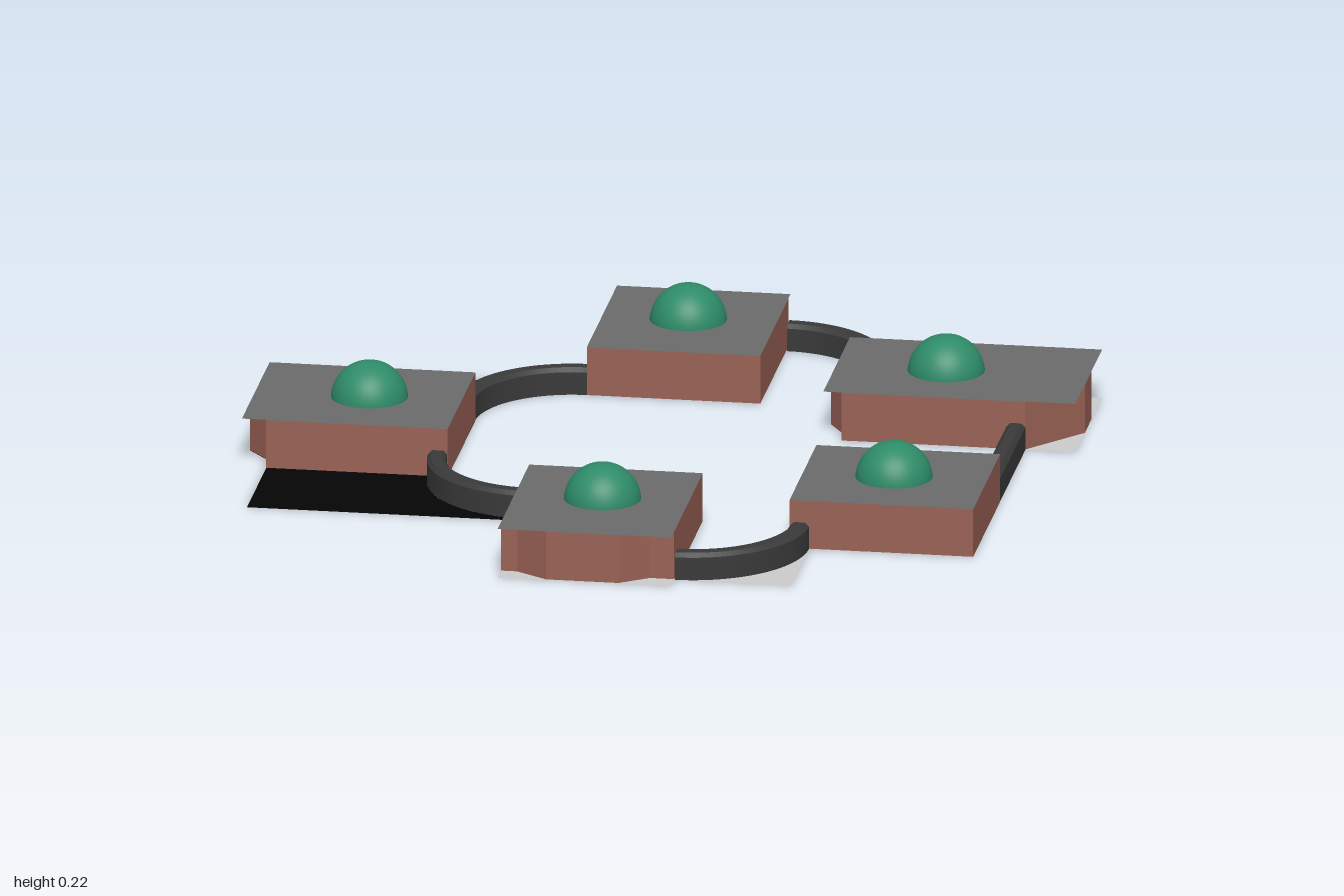
import * as THREE from 'three';

const mat = (color, side = THREE.FrontSide) => new THREE.MeshStandardMaterial({ color, side });

export function createModel() {
  const model = new THREE.Group();
  const brick = mat(0x9a6256);
  const slab = mat(0x6b6b6b, THREE.DoubleSide);
  const leaf = mat(0x2e8b68);
  const kerb = mat(0x3a3a3a, THREE.DoubleSide);
  const paving = mat(0xcccccc, THREE.DoubleSide);
  const soil = mat(0x050505, THREE.DoubleSide);
  const H = 0.125;

  const add = (geometry, material, name, parent = model) => {
    const mesh = new THREE.Mesh(geometry, material);
    mesh.name = name;
    parent.add(mesh);
    return mesh;
  };
  // Plan shapes are drawn in x and -z, then laid flat
  const plan = (points) => new THREE.Shape(points.map(([x, z]) => new THREE.Vector2(x, -z)));
  const sheet = (shape, y) => new THREE.ShapeGeometry(shape, 24).rotateX(-Math.PI / 2).translate(0, y, 0);
  const corners = (x0, x1, z0, z1) => [[x0, z0], [x0, z1], [x1, z1], [x1, z0]];

  // Planters: walls from a plan outline, overhanging top slab, paving below, round bush
  const planters = [
    {
      name: 'backPlanter', bush: [-0.038, -0.713],
      slab: corners(-0.25, 0.18, -0.94, -0.46),
      base: corners(-0.25, 0.18, -0.96, -0.46),
      outline: corners(-0.25, 0.18, -0.91, -0.46),
    },
    {
      name: 'backLeftPlanter', bush: [0.647, -0.42],
      slab: corners(0.375, 1, -0.635, -0.21),
      base: [[0.42, -0.635], [0.42, -0.585], [0.375, -0.51], [0.375, -0.33], [0.42, -0.255], [0.42, -0.21],
        [1, -0.21], [1, -0.635]],
      outline: [[0.42, -0.635], [0.42, -0.585], [0.375, -0.51], [0.375, -0.33], [0.42, -0.255], [0.42, -0.21],
        [0.875, -0.21], [1, -0.36], [1, -0.47], [0.875, -0.62], [0.875, -0.635]],
    },
    {
      name: 'frontLeftPlanter', bush: [0.647, 0.41],
      slab: corners(0.422, 0.877, 0.2, 0.627),
      base: corners(0.422, 0.877, 0.2, 0.627),
      outline: corners(0.422, 0.877, 0.2, 0.627),
    },
    {
      name: 'frontPlanter', bush: [-0.033, 0.685],
      slab: corners(-0.25, 0.18, 0.457, 0.96),
      base: corners(-0.25, 0.18, 0.457, 0.96),
      outline: [[-0.25, 0.457], [-0.25, 0.91], [-0.21, 0.91], [-0.13, 0.96], [0.05, 0.96], [0.12, 0.91],
        [0.18, 0.91], [0.18, 0.457]],
    },
    {
      name: 'rightPlanter', bush: [-0.718, -0.004],
      slab: corners(-1, -0.49, -0.225, 0.215),
      outline: [[-0.94, -0.225], [-0.94, -0.17], [-1, -0.095], [-1, 0.085], [-0.94, 0.16], [-0.94, 0.215],
        [-0.49, 0.215], [-0.49, -0.225]],
    },
  ];

  for (const p of planters) {
    const group = new THREE.Group();
    group.name = p.name;
    model.add(group);
    const walls = new THREE.ExtrudeGeometry(plan(p.outline), { depth: H - 0.002, bevelEnabled: false });
    add(walls.rotateX(-Math.PI / 2).translate(0, 0.001, 0), [slab, brick], 'walls', group);
    add(sheet(plan(p.slab), H), slab, 'topSlab', group);
    const bush = new THREE.SphereGeometry(0.095, 40, 16, 0, Math.PI * 2, 0, Math.PI / 2);
    add(bush, leaf, 'bush', group).position.set(p.bush[0], 0.12, p.bush[1]);
    if (p.base) add(sheet(plan(p.base), 0), paving, 'paving', group);
  }

  // Curved kerbs joining the planters, swept from a chamfered section
  const R = 0.288, W = 0.047;
  const section = [[0, 0], [0, 0.058], [-0.01, 0.068], [-W + 0.01, 0.068], [-W, 0.058], [-W, 0], [0, 0]];
  const arcs = [
    ['frontLeftKerb', 0.182, 0.624, 0],
    ['backLeftKerb', 0.182, -0.632, 1],
    ['backRightKerb', -0.25, -0.222, 2],
    ['frontRightKerb', -0.25, 0.215, 3],
  ];
  for (const [name, x, z, quarter] of arcs) {
    // Each section edge is swept alone so the chamfers stay crisp
    const group = new THREE.Group();
    group.name = name;
    group.position.set(x, 0, z);
    model.add(group);
    for (let i = 0; i < section.length - 1; i++) {
      const edge = [section[i], section[i + 1]].map(([r, y]) => new THREE.Vector2(R + r, y));
      add(new THREE.LatheGeometry(edge, 24, quarter * Math.PI / 2, Math.PI / 2), kerb, 'kerbFace', group);
    }
  }

  // Straight kerb on the left side
  const bar = new THREE.Shape(section.slice(0, -1).map(([x, y]) => new THREE.Vector2(0.876 + x, y)));
  add(new THREE.ExtrudeGeometry(bar, { depth: 0.41, bevelEnabled: false }).translate(0, 0, -0.21), kerb, 'straightKerb');

  // Paved corners outside the two left kerbs
  for (const [name, y, s] of [['backCorner', 0.632, 1], ['frontCorner', -0.624, -1]]) {
    const corner = new THREE.Shape();
    corner.moveTo(0.182 + R, y + s * R);
    corner.lineTo(0.182, y + s * R);
    corner.absarc(0.182, y, R, s * Math.PI / 2, 0, s > 0);
    add(sheet(corner, 0), paving, name);
  }

  // Dark bed around the right planter, cut back along both kerbs
  const bed = new THREE.Shape();
  bed.moveTo(-0.94, 0.535);
  bed.lineTo(-0.25, 0.535);
  bed.absarc(-0.25, 0.222, R, Math.PI / 2, Math.PI, false);
  bed.lineTo(-0.49, 0.222);
  bed.lineTo(-0.49, -0.215);
  bed.absarc(-0.25, -0.215, R, Math.PI, Math.PI * 1.5, false);
  for (const [x, y] of [[-0.25, -0.52], [-0.94, -0.52], [-0.94, -0.16], [-1, -0.085], [-1, 0.095], [-0.94, 0.17]]) bed.lineTo(x, y);
  add(sheet(bed, 0), soil, 'darkBed');

  return model;
}
